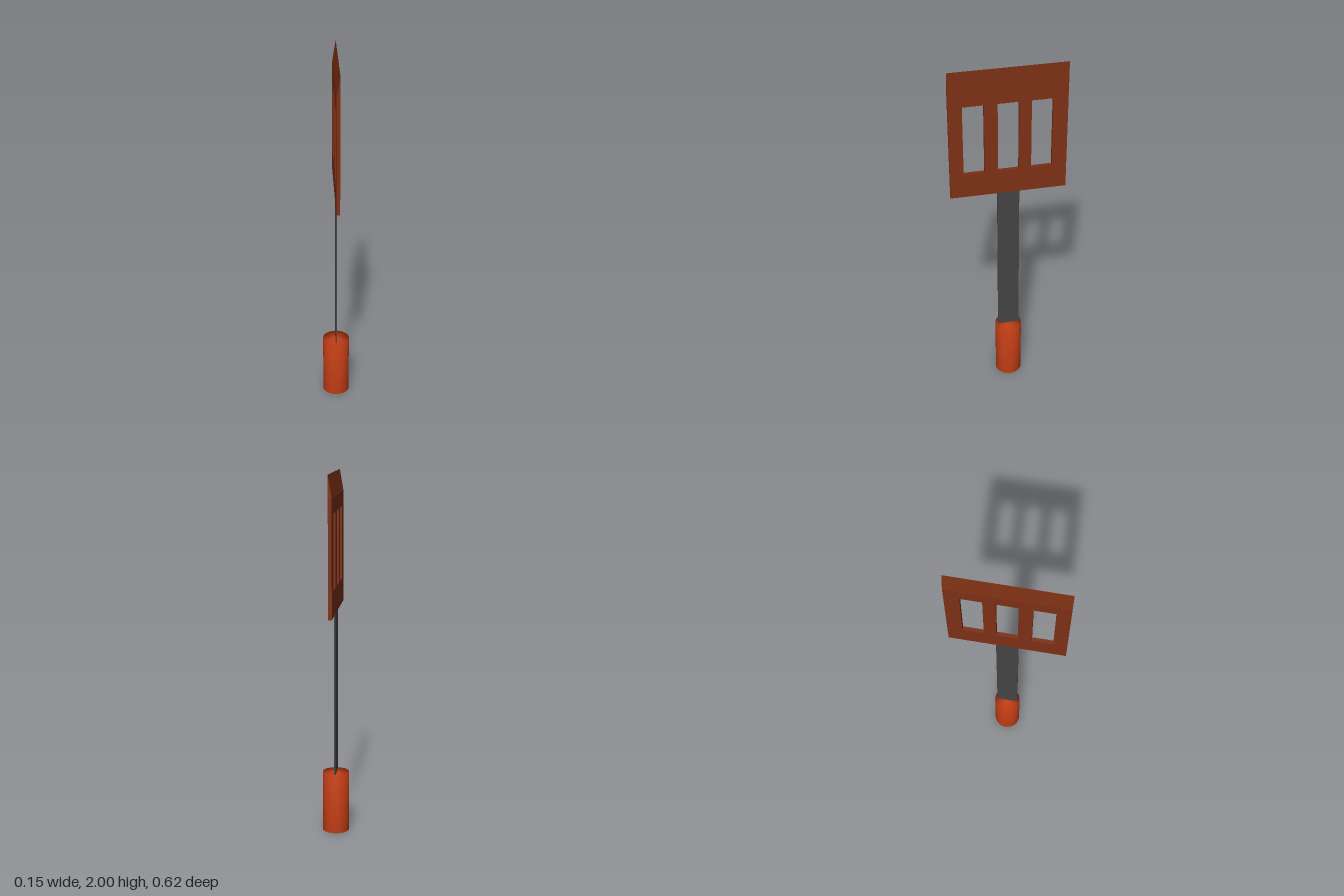
import * as THREE from 'three';
import { mergeVertices } from 'three/addons/utils/BufferGeometryUtils.js';

const HANDLE_TOP = 0.34, BLADE_BOTTOM = 1.26, BEVEL = 1.88, TOP = 2;
const HALF_WIDTH = 0.312, HALF_THICK = 0.01;

function makeMesh(name, geometry, color) {
  const mesh = new THREE.Mesh(geometry, new THREE.MeshStandardMaterial({ color }));
  mesh.name = name;
  return mesh;
}

// Rectangle outline, used for the blade and its slots
function rectangle(path, x0, x1, y0, y1) {
  path.moveTo(x0, y0);
  path.lineTo(x1, y0);
  path.lineTo(x1, y1);
  path.lineTo(x0, y1);
  path.closePath();
  return path;
}

export function createModel() {
  const model = new THREE.Group();
  model.name = 'spatula';

  // Round grip, with shading that runs smoothly over its rims
  let grip = new THREE.CylinderGeometry(0.074, 0.074, HANDLE_TOP, 32);
  grip.deleteAttribute('normal');
  grip.deleteAttribute('uv');
  grip = mergeVertices(grip);
  grip.computeVertexNormals();
  grip.translate(0, HANDLE_TOP / 2, 0);
  model.add(makeMesh('handle', grip, 0xc84015));

  // Thin flat shaft
  const shaftLength = BLADE_BOTTOM - HANDLE_TOP;
  const shaft = new THREE.BoxGeometry(0.008, shaftLength, 0.12);
  shaft.translate(0, HANDLE_TOP + shaftLength / 2, 0);
  model.add(makeMesh('shaft', shaft, 0x444444));

  // Slotted blade, drawn in z and y, then turned to face sideways
  const blade = new THREE.Group();
  blade.name = 'blade';
  const outline = rectangle(new THREE.Shape(), -HALF_WIDTH, HALF_WIDTH, BLADE_BOTTOM, BEVEL);
  for (const z of [-0.177, 0, 0.183]) {
    outline.holes.push(rectangle(new THREE.Path(), z - 0.056, z + 0.056, 1.4, 1.8));
  }
  const plate = new THREE.ExtrudeGeometry(outline, { depth: 2 * HALF_THICK, bevelEnabled: false });
  plate.rotateY(-Math.PI / 2);
  plate.translate(HALF_THICK, 0, 0);
  blade.add(makeMesh('slottedPlate', plate, 0x7d3015));

  // Sharpened tip, bevelled on one side only
  const wedge = new THREE.Shape([
    new THREE.Vector2(-HALF_THICK, BEVEL),
    new THREE.Vector2(HALF_THICK, BEVEL),
    new THREE.Vector2(HALF_THICK, TOP),
  ]);
  const tip = new THREE.ExtrudeGeometry(wedge, { depth: 2 * HALF_WIDTH, bevelEnabled: false });
  tip.translate(0, 0, -HALF_WIDTH);
  blade.add(makeMesh('bevelledTip', tip, 0x7d3015));
  model.add(blade);

  return model;
}
